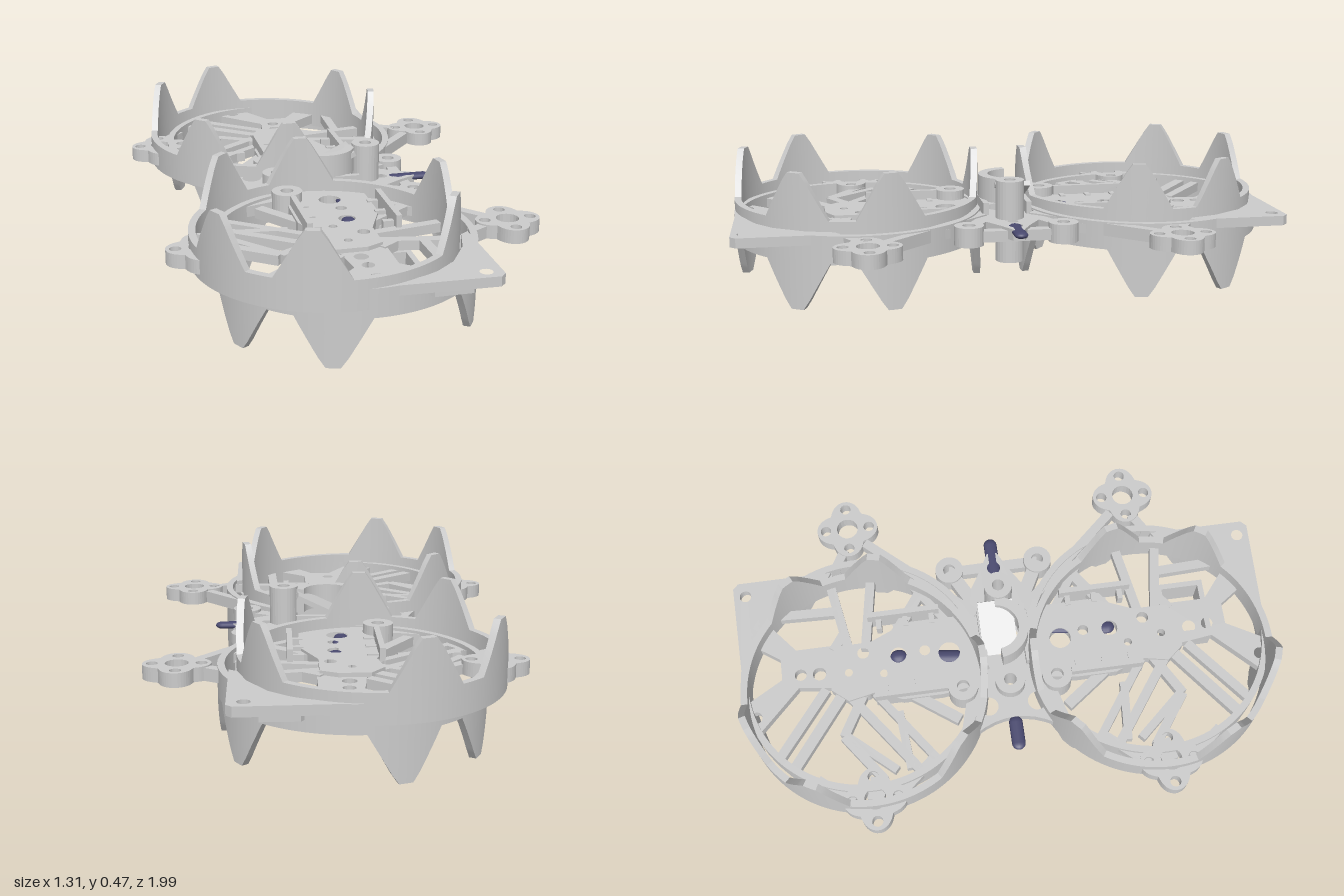
import * as THREE from 'three';
import { toCreasedNormals } from 'three/addons/utils/BufferGeometryUtils.js';

const grey = new THREE.MeshStandardMaterial({ color: 0xcccccc });
const navy = new THREE.MeshStandardMaterial({ color: 0x4a4a70 });
const RAD = Math.PI / 180;

export function createModel() {
  const model = new THREE.Group();

  const add = (name, geometry, x = 0, y = 0, z = 0, material = grey) => {
    const mesh = new THREE.Mesh(geometry, material);
    mesh.name = name;
    mesh.position.set(x, y, z);
    model.add(mesh);
    return mesh;
  };

  // Flat plate lying in the xz plane; s = -1 mirrors it in z. Holes are [x, z, radius].
  const plate = (name, points, y0, y1, s = 1, holes = []) => {
    const shape = new THREE.Shape(points.map(([x, z]) => new THREE.Vector2(x, z * s)));
    for (const [x, z, r] of holes) {
      shape.holes.push(new THREE.Path().absarc(x, z * s, r, 0, Math.PI * 2, true));
    }
    const g = new THREE.ExtrudeGeometry(shape, { depth: y1 - y0, bevelEnabled: false, curveSegments: 10 });
    g.rotateX(Math.PI / 2).translate(0, y1, 0);
    return add(name, g);
  };

  // Straight strut between two points of the plan
  const strut = (name, [x1, z1, x2, z2, w], y0, y1, s) => {
    const l = Math.hypot(x2 - x1, z2 - z1);
    const nx = (-(z2 - z1) / l) * w / 2, nz = ((x2 - x1) / l) * w / 2;
    plate(name, [[x1 + nx, z1 + nz], [x2 + nx, z2 + nz], [x2 - nx, z2 - nz], [x1 - nx, z1 - nz]], y0, y1, s);
  };

  // Round boss with a bore
  const boss = (name, x, z, r, hole, y0, y1) => {
    const shape = new THREE.Shape().absarc(x, z, r, 0, Math.PI * 2);
    shape.holes.push(new THREE.Path().absarc(x, z, hole, 0, Math.PI * 2, true));
    const g = new THREE.ExtrudeGeometry(shape, { depth: y1 - y0, bevelEnabled: false, curveSegments: 14 });
    add(name, g.rotateX(Math.PI / 2).translate(0, y1, 0));
  };

  // Height of the crown at an angle: three pairs of blunt teeth
  const tooth = (deg) => {
    let d = 180;
    for (const c of [58, 102, 178, 222, 298, 342]) {
      d = Math.min(d, Math.abs(((deg - c + 540) % 360) - 180));
    }
    if (d <= 3) return 1;
    if (d <= 6) return 1 - 0.2 * (d - 3) / 3;
    return Math.max(0, 0.8 * (16 - d) / 10);
  };

  // Toothed band; teeth point up or down
  const crown = (name, cx, cz, s, yBase, yEdge, yTip) => {
    const pos = [], idx = [], n = 360, R = 0.455, r = 0.43;
    for (let i = 0; i < n; i++) {
      const edge = yEdge + (yTip - yEdge) * tooth(s > 0 ? i : (540 - i) % 360);
      const lo = Math.min(yBase, edge), hi = Math.max(yBase, edge);
      const sx = Math.sin(i * RAD), sz = Math.cos(i * RAD);
      for (const [q, y] of [[R, lo], [R, hi], [r, hi], [r, lo]]) pos.push(cx + q * sx, y, cz * s + q * sz);
      const j = (i + 1) % n;
      for (let k = 0; k < 4; k++) {
        const m = (k + 1) % 4;
        const a = i * 4 + k, b = j * 4 + k, c = j * 4 + m, d = i * 4 + m;
        idx.push(a, b, c, a, c, d);
      }
    }
    const g = new THREE.BufferGeometry();
    g.setAttribute('position', new THREE.Float32BufferAttribute(pos, 3));
    g.setIndex(idx);
    add(name, toCreasedNormals(g, 0.5));
  };

  // Four-eared motor mount
  const mount = (name, cx, cz) => {
    const pts = [];
    for (let i = 0; i < 72; i++) {
      const a = i * 5 * RAD;
      const rad = 0.083 + 0.033 * Math.pow(Math.abs(Math.cos(2 * a)), 1.2);
      pts.push([cx + rad * Math.cos(a), cz + rad * Math.sin(a)]);
    }
    const holes = [[cx, cz, 0.04]];
    for (let i = 0; i < 4; i++) {
      holes.push([cx + 0.083 * Math.cos(i * Math.PI / 2), cz + 0.083 * Math.sin(i * Math.PI / 2), 0.02]);
    }
    plate(name, pts, 0.22, 0.27, 1, holes);
  };

  for (const s of [1, -1]) {
    // Two offset guards per side
    crown('upperGuard', -0.12, 0.535, s, 0.2, 0.305, 0.47);
    crown('lowerGuard', -0.055, 0.535, s, 0.27, 0.17, 0);

    mount('rightMotorMount', -0.54, 0.54 * s);
    mount('leftMotorMount', 0.535, 0.54 * s);

    // Hub plate and the forked end plate
    plate('hubPlate', [[-0.16, 0.1], [0.12, 0.1], [0.12, 0.36], [0.06, 0.5], [0.06, 0.63], [0, 0.66],
      [-0.11, 0.66], [-0.16, 0.6], [-0.14, 0.5], [-0.18, 0.4], [-0.18, 0.25]], 0.22, 0.265, s,
      [[-0.13, 0.53, 0.022], [0.02, 0.53, 0.022], [-0.005, 0.4, 0.03], [0, 0.3, 0.02], [-0.02, 0.21, 0.04],
        [-0.07, 0.46, 0.015], [-0.05, 0.59, 0.015]]);
    plate('forkPlate', [[-0.1, 0.62], [-0.08, 0.78], [-0.23, 0.93], [-0.2, 0.98], [-0.12, 0.98], [-0.04, 0.84],
      [0.04, 0.84], [0.13, 0.97], [0.26, 0.97], [0.24, 0.92], [0.07, 0.78], [0.07, 0.62]], 0.21, 0.25, s,
      [[-0.175, 0.945, 0.022], [0.165, 0.94, 0.025], [-0.035, 0.7, 0.025], [-0.03, 0.77, 0.022]]);

    // Corner plate outside the guard
    plate('cornerPlate', [[0, 0.985], [0.34, 0.995], [0.36, 0.975], [0.36, 0.62], [0.33, 0.64], [0.3, 0.74],
      [0.23, 0.85], [0.12, 0.94]], 0.235, 0.27, s, [[0.305, 0.95, 0.022]]);

    // Lattice tying the hub to the guards
    for (const bar of [
      [-0.4, 0.83, -0.1, 0.6, 0.04], [-0.34, 0.87, -0.1, 0.68, 0.035], [-0.47, 0.5, -0.29, 0.63, 0.035],
      [-0.29, 0.63, -0.13, 0.54, 0.035], [-0.44, 0.45, -0.29, 0.62, 0.03], [-0.46, 0.36, -0.13, 0.6, 0.035],
      [-0.44, 0.4, -0.22, 0.42, 0.03], [-0.28, 0.2, -0.12, 0.42, 0.04], [-0.42, 0.3, -0.14, 0.5, 0.03],
      [0.03, 0.58, 0.38, 0.64, 0.035], [0.205, 0.6, 0.215, 0.87, 0.035], [0.05, 0.64, 0.12, 0.59, 0.035],
      [0.04, 0.52, 0.34, 0.47, 0.035], [0.06, 0.42, 0.3, 0.25, 0.04], [0.1, 0.2, 0.36, 0.38, 0.03],
      [-0.54, 0.54, -0.46, 0.52, 0.06], [-0.54, 0.46, -0.4, 0.3, 0.035], [-0.54, 0.62, -0.44, 0.74, 0.035],
    ]) strut('latticeBar', bar, 0.22, 0.255, s);

    // Arms carrying the outer motor mounts
    strut('mountArm', [0.47, 0.48, 0.12, 0.09, 0.035], 0.22, 0.265, s);
    strut('mountArm', [0.45, 0.56, 0.38, 0.6, 0.035], 0.22, 0.265, s);

    // Upright rails and cross ribs on the hub
    for (const x of [-0.16, 0.155]) {
      add('sideRail', new THREE.BoxGeometry(0.02, 0.1, 0.27), x, 0.25, 0.365 * s);
      for (const z of [0.26, 0.36, 0.46]) {
        add('railRib', new THREE.BoxGeometry(0.05, 0.05, 0.02), x * 0.85, 0.245, z * s);
      }
    }
    add('batteryPad', new THREE.BoxGeometry(0.14, 0.03, 0.2), -0.09, 0.215, 0.35 * s);
    add('batteryPad', new THREE.BoxGeometry(0.07, 0.03, 0.16), 0.1, 0.215, 0.33 * s);

    // Screw bosses beside the middle plate
    boss('screwBoss', -0.17, 0.175 * s, 0.055, 0.023, 0.2, 0.3);
    boss('screwBoss', 0.31, 0.17 * s, 0.053, 0.023, 0.2, 0.27);
    strut('bossLink', [0.31, 0.17, 0.16, 0.09, 0.05], 0.21, 0.26, s);
    strut('bossLink', [0.31, 0.17, 0.31, 0, 0.04], 0.21, 0.25, s);
  }

  // Bow-sided middle plate
  const left = [];
  for (let i = 0; i <= 12; i++) {
    const t = i / 6 - 1;
    left.push([-0.3 - 0.1 * t * t, 0.22 * t]);
  }
  plate('middlePlate', [...left, [-0.22, 0.17], [0, 0.13], [0.22, 0.1], [0.3, 0.05], [0.36, 0.02],
    [0.36, -0.02], [0.3, -0.05], [0.22, -0.1], [0, -0.13], [-0.22, -0.17]], 0.22, 0.26, 1,
    [[-0.17, 0, 0.025], [-0.305, 0, 0.02], [0.3, 0, 0.025], [0.235, 0, 0.02], [0, 0, 0.06],
      [-0.25, 0.09, 0.035], [-0.25, -0.09, 0.035]]);
  boss('frontPost', 0.17, 0, 0.052, 0.022, 0.1, 0.4);
  boss('rearPost', -0.17, 0, 0.055, 0.023, 0.19, 0.31);

  // Curved camera cradle with its tilted cover
  const arc = new THREE.Shape().absarc(0, 0, 0.12, 0.1, Math.PI - 0.1);
  arc.absarc(0, 0, 0.085, Math.PI - 0.1, 0.1, true);
  const cradle = new THREE.ExtrudeGeometry(arc, { depth: 0.09, bevelEnabled: false, curveSegments: 20 });
  add('cameraCradle', cradle.rotateX(Math.PI / 2), 0.01, 0.39, -0.03);
  const cover = add('cradleCover', new THREE.BoxGeometry(0.2, 0.018, 0.13), 0.03, 0.33, -0.02);
  cover.rotation.z = 0.45;
  for (const z of [-0.08, 0.08]) add('cradleWall', new THREE.BoxGeometry(0.23, 0.09, 0.02), 0.01, 0.26, z);

  // Hollow box hanging under one side
  const frame = new THREE.Shape([[-0.11, -0.09], [0.11, -0.09], [0.11, 0.09], [-0.11, 0.09]]
    .map((p) => new THREE.Vector2(...p)));
  frame.holes.push(new THREE.Path([[-0.09, -0.07], [-0.09, 0.07], [0.09, 0.07], [0.09, -0.07]]
    .map((p) => new THREE.Vector2(...p))));
  const box = new THREE.ExtrudeGeometry(frame, { depth: 0.115, bevelEnabled: false });
  add('hollowBox', box.rotateX(Math.PI / 2), 0.05, 0.22, 0.7);

  // Dark straps crossing inside the frame
  for (const [x, z, len, turn] of [[-0.36, 0, 0.13, 0], [0.34, 0, 0.17, 0], [0.03, 0.22, 0.12, 1.45],
    [-0.03, -0.22, 0.12, 1.45], [0.005, 0.39, 0.06, 1.57], [-0.005, -0.4, 0.06, 1.57]]) {
    const strap = new THREE.CapsuleGeometry(0.025, len - 0.05, 6, 12);
    strap.rotateZ(Math.PI / 2).scale(1, 0.5, 1).rotateY(turn);
    add('darkStrap', strap, x, 0.25, z, navy);
  }

  return model;
}
